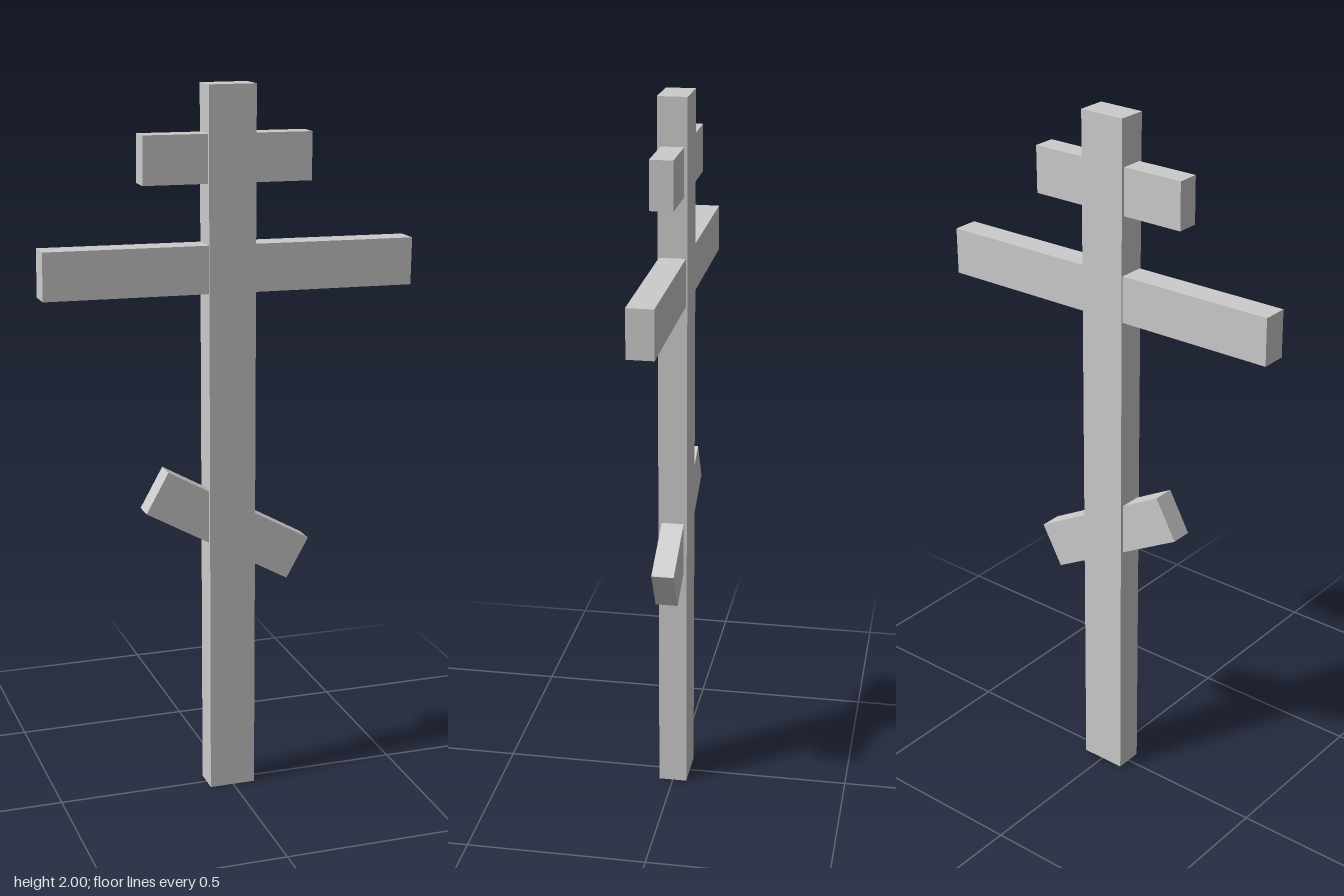
import * as THREE from 'three';

export function createModel() {
  const group = new THREE.Group();
  const material = new THREE.MeshStandardMaterial({ color: 0xcccccc, flatShading: true });

  // One squared timber, centred at (x, y) and tilted about z
  function beam(name, width, height, depth, x, y, tilt = 0) {
    const mesh = new THREE.Mesh(new THREE.BoxGeometry(width, height, depth), material);
    mesh.name = name;
    mesh.position.set(x, y, 0);
    mesh.rotation.z = tilt;
    group.add(mesh);
  }

  // Upright
  beam('post', 0.132, 2, 0.08, -0.002, 1);
  // Short upper bar and long main bar, both very slightly off level
  beam('upperCrossbar', 0.472, 0.131, 0.062, -0.011, 1.806, -0.008);
  beam('mainCrossbar', 1.042, 0.131, 0.072, -0.001, 1.511, -0.012);
  // Slanted lower bar, dropping towards +x
  beam('slantedFootrest', 0.47, 0.13, 0.062, -0.011, 0.785, -0.511);

  return group;
}
